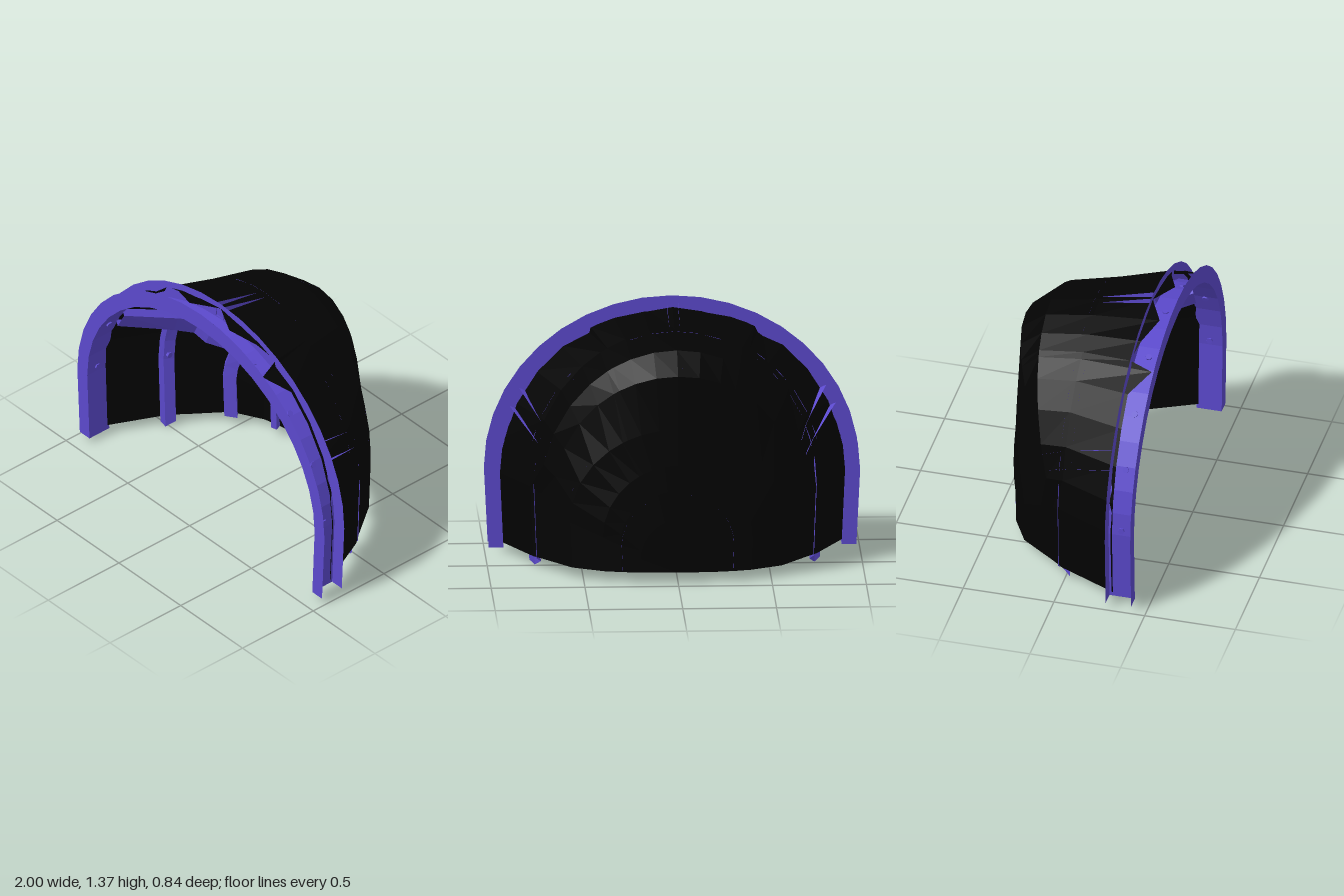
import * as THREE from 'three';

const material = (color) => new THREE.MeshStandardMaterial({ color, flatShading: true, side: THREE.DoubleSide });
const purple = material(0x5b49cc);
const black = material(0x030303);

// An arch curve: a = half width, h = crown height, yc = spring line, z0 / z1 = depth
// at the feet / at the crown, yb = foot height, p = how the depth eases to the crown
const arch = (a, h, yc, z0, z1, yb = 0.055, p = 1) => ({ a, h, yc, z0, z1, yb, p });

// Point on an arch, t in degrees from the +x spring line (90 = crown)
function at(r, t) {
  const s = Math.sin(t * Math.PI / 180), c = Math.cos(t * Math.PI / 180);
  return new THREE.Vector3(r.a * c, r.yc + (r.h - r.yc) * s,
    r.z0 + (r.z1 - r.z0) * Math.abs(s) ** r.p);
}

// Whole arch as points: foot, one quarter, crown, other quarter, foot
function trace(r, quarter, edgeZ) {
  const half = [new THREE.Vector3(r.a * 0.98, r.yb, r.z0), ...quarter.map((t) => at(r, t))];
  if (edgeZ) half.forEach((p, i) => { p.z = edgeZ[i]; });
  const other = half.slice(0, -1).reverse().map((p) => new THREE.Vector3(-p.x, p.y, p.z));
  return [...half, ...other];
}

// Surface through a list of equally long point rows
function loft(rows) {
  const n = rows[0].length, pos = [], idx = [];
  rows.forEach((row) => row.forEach((p) => pos.push(p.x, p.y, p.z)));
  for (let j = 0; j < rows.length - 1; j++) {
    for (let i = 0; i < n - 1; i++) {
      const k = j * n + i;
      idx.push(k, k + 1, k + n, k + 1, k + n + 1, k + n);
    }
  }
  const g = new THREE.BufferGeometry();
  g.setAttribute('position', new THREE.Float32BufferAttribute(pos, 3));
  g.setIndex(idx);
  g.computeVertexNormals();
  return g;
}

export function createModel() {
  const model = new THREE.Group();
  const add = (name, geometry, mat = purple) => {
    const mesh = new THREE.Mesh(geometry, mat);
    mesh.name = name;
    model.add(mesh);
    return mesh;
  };

  // Canopy skin, from the middle of the back wall out to the front opening
  const foot = 0.055;
  const rings = [
    arch(0, foot, foot, -0.42, -0.42),
    arch(0.2, 0.34, 0.13, -0.41, -0.42),
    arch(0.31, 0.5, 0.2, -0.393, -0.42),
    arch(0.4, 0.64, 0.24, -0.37, -0.42),
    arch(0.57, 0.84, 0.3, -0.28, -0.42, foot, 1.5),
    arch(0.66, 1.13, 0.37, -0.16, -0.42, foot, 2),
    arch(0.72, 1.24, 0.41, -0.08, -0.28),
    arch(0.77, 1.29, 0.44, -0.02, -0.01),
    arch(0.925, 1.34, 0.44, 0.3, 0.3),
  ];
  const skinAngles = [0, 12, 25, 38, 50, 59, 62, 70, 80, 90];
  const frontZ = [0.3, 0.3, 0.3, 0.3, 0.3, 0.3, 0.4, 0.27, 0.3, 0.36, 0.28];
  add('canopySkin', loft(rings.map((r, i) =>
    trace(r, skinAngles, i === rings.length - 1 ? frontZ : null))), black);

  // Channel-section arches: four edge curves each
  const fine = Array.from({ length: 11 }, (_, i) => i * 9);
  const channel = (name, edges) => add(name, loft(edges.map((e) => trace(e, fine))));
  channel('frontArch', [
    arch(1.0, 1.37, 0.44, 0.42, 0.42, 0.03), arch(0.92, 1.27, 0.44, 0.42, 0.42, 0.03),
    arch(0.92, 1.27, 0.44, 0.28, 0.28, 0.03), arch(1.0, 1.37, 0.44, 0.28, 0.28, 0.03),
  ]);
  channel('middleArch', [
    arch(0.79, 1.29, 0.44, 0.03, 0.02, 0.025), arch(0.76, 1.255, 0.44, 0.02, 0.02, 0),
    arch(0.73, 1.24, 0.44, -0.03, -0.04, 0.03), arch(0.755, 1.285, 0.44, -0.045, -0.04, 0.05),
  ]);
  channel('rearArch', [
    arch(0.59, 0.86, 0.3, -0.25, -0.418, foot, 1.5), arch(0.565, 0.85, 0.3, -0.23, -0.37, foot, 1.5),
    arch(0.505, 0.795, 0.29, -0.27, -0.37, foot, 1.5), arch(0.53, 0.8, 0.29, -0.295, -0.418, foot, 1.5),
  ]);
  channel('smallArch', [
    arch(0.33, 0.515, 0.2, -0.385, -0.42), arch(0.32, 0.515, 0.2, -0.35, -0.38),
    arch(0.285, 0.485, 0.2, -0.36, -0.38), arch(0.3, 0.485, 0.2, -0.397, -0.42),
  ]);

  // Radial ribs run along the skin from the small arch to the front arch,
  // crossing each ring at the given angle
  const span = rings.slice(2);
  const last = span.length - 1;
  function rib(name, angles, w0, w1) {
    const rows = [[], [], [], []];
    const path = span.map((r, i) => at(r, angles[i]));
    path[last].z = 0.28;
    path.forEach((p, i) => {
      const along = path[Math.min(i + 1, last)].clone().sub(path[Math.max(i - 1, 0)]);
      const side = at(span[i], angles[i] + 2).sub(at(span[i], angles[i] - 2)).normalize();
      const inward = new THREE.Vector3().crossVectors(along, side).normalize();
      if (inward.dot(new THREE.Vector3(0, 0.4, 0.1).sub(p)) < 0) inward.negate();
      const w = w0 + (w1 - w0) * (i / last) ** 0.7;
      const lift = i === last ? -0.025 : 0.003;
      const depth = i === 0 ? 0.04 : 0.055;
      [[-w, lift], [-w, depth], [w, depth], [w, lift]].forEach(([s, d], k) =>
        rows[k].push(p.clone().addScaledVector(side, s).addScaledVector(inward, d)));
    });
    add(name, loft(rows));
  }
  const slant = [37, 29, 25, 18, 18, 20, 27];
  rib('centreRib', slant.map(() => 90), 0.012, 0.03);
  rib('leftRib', slant, 0.018, 0.055);
  rib('rightRib', slant.map((t) => 180 - t), 0.018, 0.055);

  // Hexagonal bolts on the inner faces of the arches
  function bolts(name, curve, angles, rearward) {
    for (const t of [...angles, ...angles.filter((v) => v !== 90).map((v) => 180 - v)]) {
      const p = at(curve, t);
      const out = new THREE.Vector3(p.x, p.y - curve.yc, 0).normalize();
      if (rearward) out.set(out.x * 0.3, out.y * 0.3, -1).normalize();
      const bolt = add(name, new THREE.CylinderGeometry(0.018, 0.018, 0.016, 6));
      bolt.position.copy(p);
      bolt.quaternion.setFromUnitVectors(new THREE.Vector3(0, 1, 0), out);
    }
  }
  bolts('frontBolt', arch(0.918, 1.268, 0.44, 0.35, 0.35), [2, 26, 46, 68, 90], false);
  bolts('middleBolt', arch(0.743, 1.246, 0.44, -0.005, -0.01), [2, 18, 90], false);
  bolts('rearBolt', arch(0.535, 0.822, 0.295, -0.25, -0.37, foot, 1.5), [28, 46, 90], true);

  return model;
}
